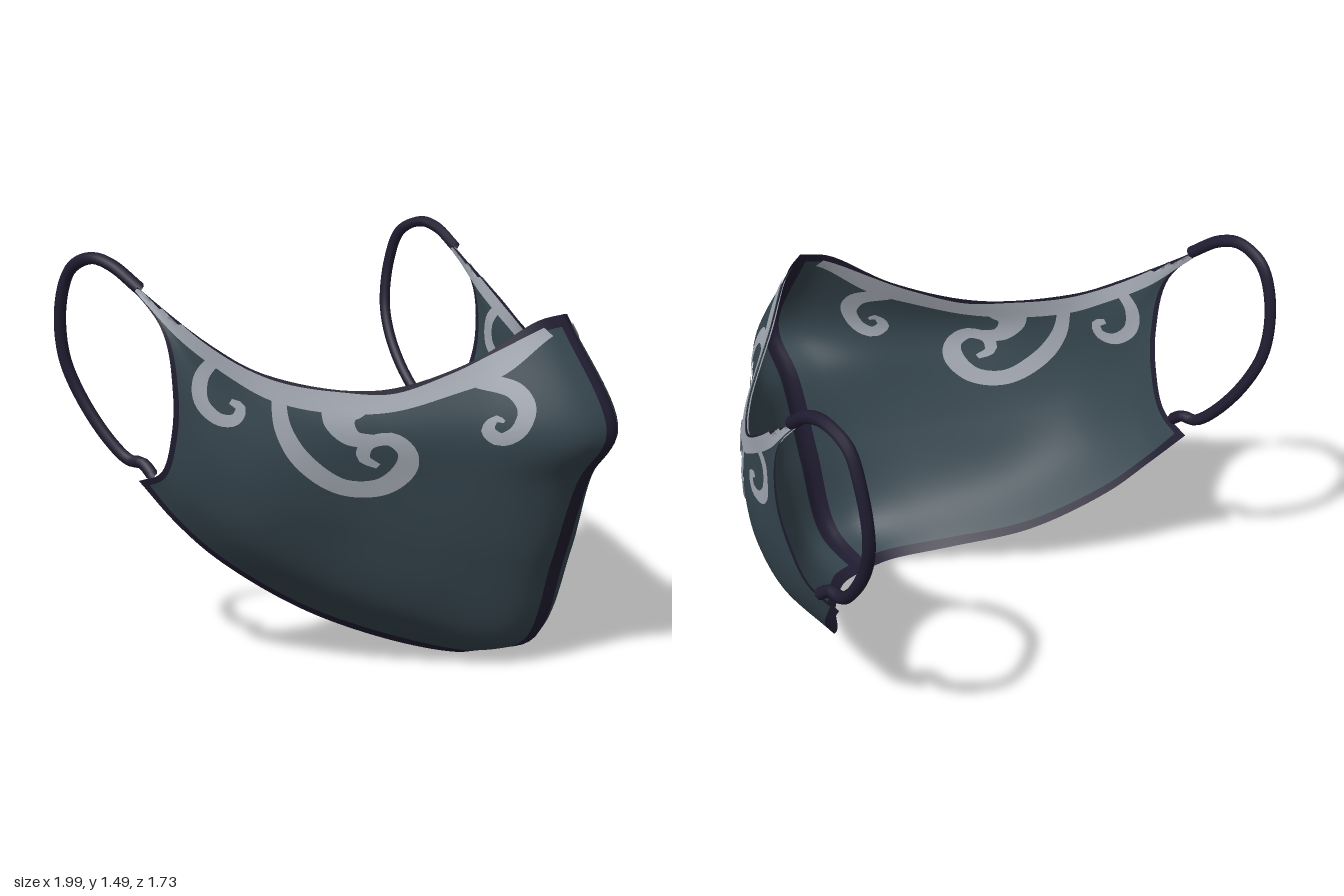
import * as THREE from 'three';

const cloth = new THREE.MeshStandardMaterial({ color: 0x36464f, side: THREE.DoubleSide });
cloth.name = 'slate cloth';
const trim = new THREE.MeshStandardMaterial({ color: 0x211d32, side: THREE.DoubleSide });
trim.name = 'dark trim';
const pale = new THREE.MeshStandardMaterial({ color: 0xa4a9b3, side: THREE.DoubleSide });
pale.name = 'pale ornament';

const V = (p) => new THREE.Vector3(...p);
const spline = (pts) => new THREE.CatmullRomCurve3(pts);

// Half of the mask: each row runs from the centre seam to the ear opening, bottom row first.
const ROWS = [
  [[0, 0.005, 0.31], [0.12, 0.02, 0.28], [0.3, 0.08, 0.12], [0.5, 0.2, -0.13], [0.7, 0.39, -0.35], [0.8, 0.53, -0.46], [0.86, 0.68, -0.58]],
  [[0, 0.09, 0.54], [0.14, 0.1, 0.48], [0.33, 0.2, 0.32], [0.56, 0.33, 0.06], [0.755, 0.5, -0.15], [0.845, 0.64, -0.33], [0.88, 0.73, -0.45]],
  [[0, 0.4, 0.65], [0.15, 0.4, 0.6], [0.34, 0.45, 0.45], [0.58, 0.53, 0.17], [0.78, 0.64, -0.05], [0.87, 0.8, -0.24], [0.9, 0.87, -0.38]],
  [[0, 0.71, 0.76], [0.14, 0.7, 0.69], [0.34, 0.72, 0.52], [0.58, 0.74, 0.25], [0.8, 0.8, -0.02], [0.875, 0.95, -0.22], [0.92, 1.03, -0.35]],
  [[0, 0.88, 0.865], [0.12, 0.88, 0.8], [0.33, 0.9, 0.55], [0.585, 0.9, 0.28], [0.8, 0.96, -0.02], [0.88, 1.1, -0.24], [0.935, 1.25, -0.385]],
  [[0, 1.28, 0.65], [0.1, 1.26, 0.6], [0.3, 1.13, 0.46], [0.56, 1.045, 0.25], [0.79, 1.1, -0.03], [0.88, 1.2, -0.21], [0.97, 1.48, -0.62]],
].map((row) => spline(row.map(V)));

const steps = (a, b, n) => Array.from({ length: n + 1 }, (_, i) => a + ((b - a) * i) / n);
const HALF_U = [0.025, ...steps(0.05, 0.975, 44), 1];
const US = [...HALF_U.map((u) => -u).reverse(), 0, ...HALF_U];
const VS = [0, ...steps(0.035, 0.972, 44), 1];

// Full grid of surface points, mirrored over the seam
const grid = US.map((u) => {
  const column = spline(ROWS.map((r) => r.getPoint(Math.abs(u))));
  return VS.map((v) => {
    const p = column.getPointAt(v);
    if (u < 0) p.x = -p.x;
    return p;
  });
});

// Cloth shell with a dark centre seam and hem
function shellGeometry() {
  const body = [], hem = [], n = VS.length;
  for (let i = 0; i < US.length - 1; i++) {
    for (let j = 0; j < n - 1; j++) {
      const mid = Math.abs(US[i] + US[i + 1]) / 2;
      const isHem = mid < 0.05 || mid > 0.975 || j === 0 || j === n - 2;
      const a = i * n + j, b = a + n;
      (isHem ? hem : body).push(a, b, a + 1, b, b + 1, a + 1);
    }
  }
  const g = new THREE.BufferGeometry().setFromPoints(grid.flat());
  g.setIndex([...body, ...hem]);
  g.addGroup(0, body.length, 0);
  g.addGroup(body.length, hem.length, 1);
  g.computeVertexNormals();
  return g;
}

// Point of the left half of the shell at a given side-on position
function lift(z, y) {
  let best = null, bestD = Infinity;
  for (let i = HALF_U.length; i < US.length - 1; i++) {
    for (let j = 0; j < VS.length - 1; j++) {
      const a = grid[i][j], b = grid[i + 1][j], c = grid[i][j + 1], d = grid[i + 1][j + 1];
      const dist = (a.z - z) ** 2 + (a.y - y) ** 2;
      if (dist < bestD) { bestD = dist; best = a; }
      if (dist > 0.02) continue;
      for (const [p, q, r] of [[a, b, c], [b, d, c]]) {
        const det = (q.z - p.z) * (r.y - p.y) - (r.z - p.z) * (q.y - p.y);
        const s = ((z - p.z) * (r.y - p.y) - (r.z - p.z) * (y - p.y)) / det;
        const t = ((q.z - p.z) * (y - p.y) - (z - p.z) * (q.y - p.y)) / det;
        if (s >= -1e-6 && t >= -1e-6 && s + t <= 1 + 1e-6) {
          return new THREE.Vector3(p.x + s * (q.x - p.x) + t * (r.x - p.x), y, z);
        }
      }
    }
  }
  return best.clone();
}

// Painted stroke laid on the shell; points are [z, y, width]
function strokePoints(points) {
  const curve = spline(points.map(V));
  const n = Math.max(24, Math.ceil(curve.getLength() / 0.015));
  const rows = [];
  for (let i = 0; i <= n; i++) {
    const p = curve.getPointAt(i / n), t = curve.getTangentAt(i / n);
    const len = Math.hypot(t.x, t.y) || 1;
    for (const s of [-0.5, -0.25, 0, 0.25, 0.5]) {
      rows.push(lift(p.x - (t.y / len) * p.z * s, p.y + (t.x / len) * p.z * s));
    }
  }
  return rows;
}

function strokeGeometry(points, offset) {
  const shift = new THREE.Vector3(offset * 0.7, 0, offset * 0.7);
  const g = new THREE.BufferGeometry().setFromPoints(points.map((p) => p.clone().add(shift)));
  const index = [];
  for (let i = 0; i < points.length / 5 - 1; i++) {
    for (let j = 0; j < 4; j++) {
      const a = i * 5 + j, b = a + 5;
      index.push(a, a + 1, b, b, a + 1, b + 1);
    }
  }
  g.setIndex(index);
  g.computeVertexNormals();
  // Keep the normals pointing away from the face
  const nm = g.attributes.normal;
  let sum = 0;
  for (let i = 0; i < nm.count; i++) sum += nm.getX(i) + nm.getZ(i);
  if (sum < 0) {
    g.setIndex(index.reverse());
    g.computeVertexNormals();
  }
  return g;
}

const STROKES = {
  upperBand: [[0.635, 1.225, 0.04], [0.53, 1.12, 0.085], [0.43, 1.06, 0.07], [0.3, 1.005, 0.06], [0.15, 1.01, 0.07], [0, 1.045, 0.065],
    [-0.12, 1.105, 0.055], [-0.3, 1.225, 0.05], [-0.45, 1.36, 0.04], [-0.57, 1.445, 0.03]],
  frontScroll: [[0.5, 1.07, 0.05], [0.6, 1.035, 0.05], [0.645, 0.97, 0.05], [0.63, 0.9, 0.05], [0.585, 0.875, 0.045],
    [0.55, 0.91, 0.035], [0.565, 0.945, 0.025], [0.59, 0.935, 0.01]],
  middleScroll: [[0, 1.03, 0.04], [0.02, 0.92, 0.05], [0.08, 0.8, 0.06], [0.17, 0.715, 0.06], [0.27, 0.715, 0.06], [0.34, 0.78, 0.06],
    [0.35, 0.84, 0.05], [0.31, 0.885, 0.045], [0.25, 0.87, 0.04], [0.235, 0.82, 0.035], [0.27, 0.79, 0.02]],
  middleStem: [[0.18, 1.0, 0.14], [0.175, 0.94, 0.08], [0.21, 0.89, 0.055], [0.27, 0.88, 0.04]],
  rearScroll: [[-0.19, 1.16, 0.04], [-0.25, 1.09, 0.05], [-0.25, 1.0, 0.05], [-0.19, 0.945, 0.045], [-0.13, 0.95, 0.04],
    [-0.115, 0.99, 0.035], [-0.15, 1.01, 0.02]],
};

// Ear loop strap
const LOOP = [[0.875, 0.715, -0.5], [0.87, 0.75, -0.55], [0.875, 0.755, -0.61], [0.895, 0.83, -0.695], [0.925, 0.98, -0.795], [0.95, 1.12, -0.842],
  [0.968, 1.3, -0.832], [0.97, 1.43, -0.775], [0.972, 1.475, -0.67], [0.965, 1.455, -0.58], [0.945, 1.38, -0.47]];

export function createModel() {
  const model = new THREE.Group();
  model.name = 'faceMask';

  const shell = new THREE.Mesh(shellGeometry(), [cloth, trim]);
  shell.name = 'maskShell';
  model.add(shell);

  const loopGeometry = new THREE.TubeGeometry(spline(LOOP.map(V)), 64, 0.022, 8);
  const ornaments = Object.entries(STROKES).flatMap(([name, pts]) => {
    const laid = strokePoints(pts);
    return [[name + 'Outside', strokeGeometry(laid, 0.006)], [name + 'Inside', strokeGeometry(laid, -0.006)]];
  });

  for (const [side, sign] of [['left', 1], ['right', -1]]) {
    const half = new THREE.Group();
    half.name = side + 'Details';
    half.scale.x = sign;
    const loop = new THREE.Mesh(loopGeometry, trim);
    loop.name = side + 'EarLoop';
    half.add(loop);
    for (const [name, geometry] of ornaments) {
      const mesh = new THREE.Mesh(geometry, pale);
      mesh.name = name;
      half.add(mesh);
    }
    model.add(half);
  }
  return model;
}
